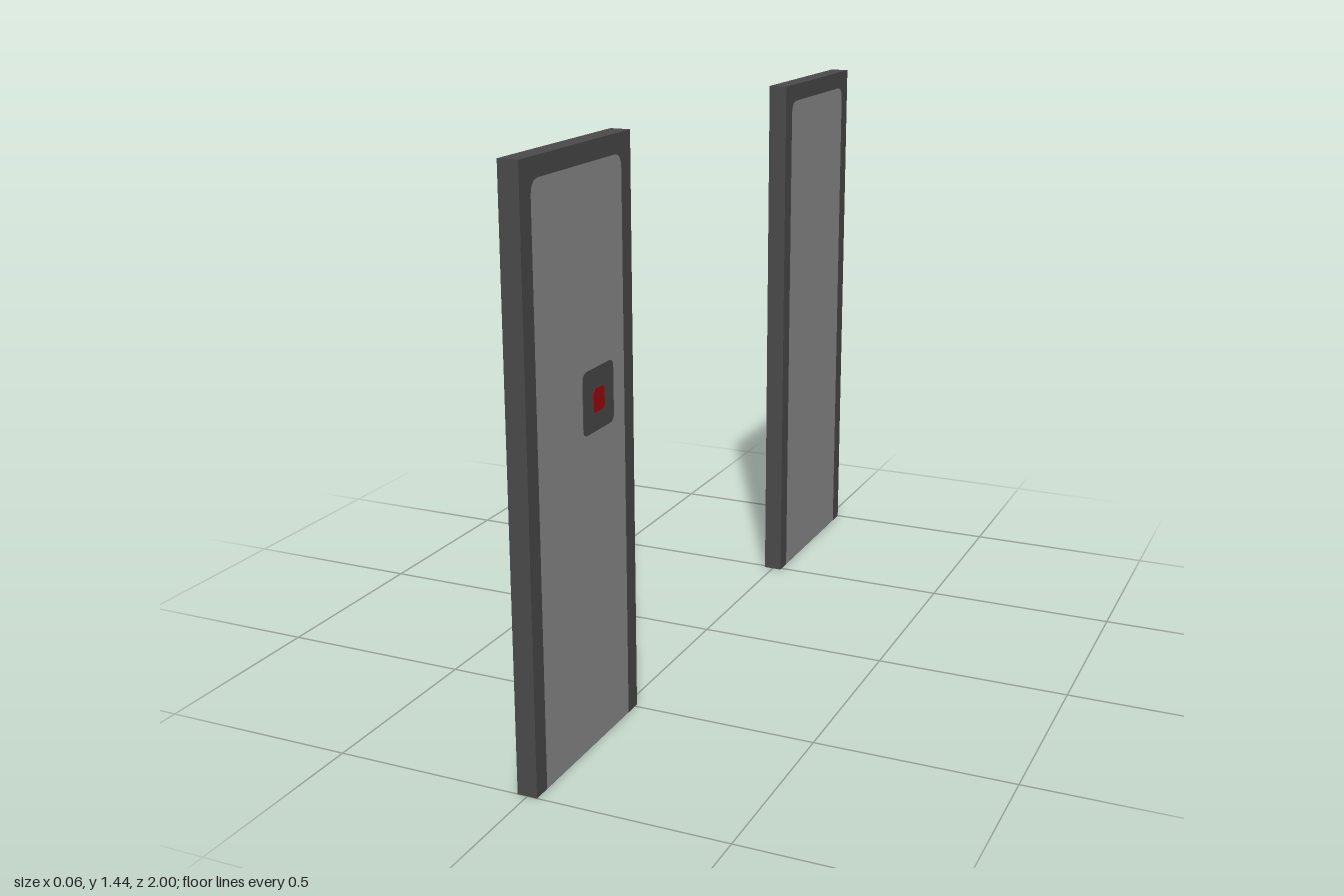
import * as THREE from 'three';

const HEIGHT = 1.44, WIDTH = 0.51, DEPTH = 0.05, RIM = 0.047, CENTRE_Z = 0.745;

// Adds the outline of the infill: square at the floor, rounded at the top
function traceInfill(path) {
  const w = WIDTH / 2 - RIM, top = HEIGHT - RIM, r = 0.035;
  path.moveTo(-w, 0);
  path.lineTo(w, 0);
  path.lineTo(w, top - r);
  path.quadraticCurveTo(w, top, w - r, top);
  path.lineTo(-w + r, top);
  path.quadraticCurveTo(-w, top, -w, top - r);
  path.lineTo(-w, 0);
  return path;
}

// Upside-down U: two posts and a top rail with rounded inner corners
function frameShape() {
  const o = WIDTH / 2, w = o - RIM, top = HEIGHT - RIM, r = 0.035;
  const s = new THREE.Shape();
  s.moveTo(-o, 0);
  s.lineTo(-w, 0);
  s.lineTo(-w, top - r);
  s.quadraticCurveTo(-w, top, -w + r, top);
  s.lineTo(w - r, top);
  s.quadraticCurveTo(w, top, w, top - r);
  s.lineTo(w, 0);
  s.lineTo(o, 0);
  s.lineTo(o, HEIGHT);
  s.lineTo(-o, HEIGHT);
  s.closePath();
  return s;
}

function roundedSquare(w, h, r) {
  const s = new THREE.Shape(), a = w / 2, b = h / 2;
  s.moveTo(-a + r, -b);
  s.lineTo(a - r, -b);
  s.quadraticCurveTo(a, -b, a, -b + r);
  s.lineTo(a, b - r);
  s.quadraticCurveTo(a, b, a - r, b);
  s.lineTo(-a + r, b);
  s.quadraticCurveTo(-a, b, -a, b - r);
  s.lineTo(-a, -b + r);
  s.quadraticCurveTo(-a, -b, -a + r, -b);
  return s;
}

// Extrudes a shape through x, centred on x = 0
function slab(name, shape, depth, material, y, z) {
  const geometry = new THREE.ExtrudeGeometry(shape, { depth, bevelEnabled: false, curveSegments: 5 });
  geometry.translate(0, 0, -depth / 2);
  geometry.rotateY(Math.PI / 2);
  const mesh = new THREE.Mesh(geometry, material);
  mesh.name = name;
  mesh.position.set(0, y, z);
  return mesh;
}

export function createModel() {
  const material = (name, color) => {
    const m = new THREE.MeshStandardMaterial({ color });
    m.name = name;
    return m;
  };
  const darkGrey = material('darkGrey', 0x4b4b4b);
  const paneGrey = material('paneGrey', 0x8e8e8e);
  const red = material('red', 0x9e0a0a);

  const model = new THREE.Group();
  model.name = 'slidingDoors';

  // Two matching door leaves standing apart
  for (const side of [1, -1]) {
    const leaf = new THREE.Group();
    leaf.name = side > 0 ? 'frontDoorLeaf' : 'backDoorLeaf';
    leaf.add(slab('frame', frameShape(), DEPTH, darkGrey, 0, side * CENTRE_Z));
    leaf.add(slab('pane', traceInfill(new THREE.Shape()), DEPTH, paneGrey, 0, side * CENTRE_Z));
    model.add(leaf);
  }

  // Control plate and button, showing on both faces of the front leaf
  const control = new THREE.Group();
  control.name = 'doorControl';
  control.add(slab('controlPlate', roundedSquare(0.15, 0.15, 0.02), DEPTH + 0.003, darkGrey, 0.85, 0.67));
  control.add(slab('button', roundedSquare(0.054, 0.056, 0.014), DEPTH + 0.006, red, 0.848, 0.67));
  model.add(control);

  return model;
}
